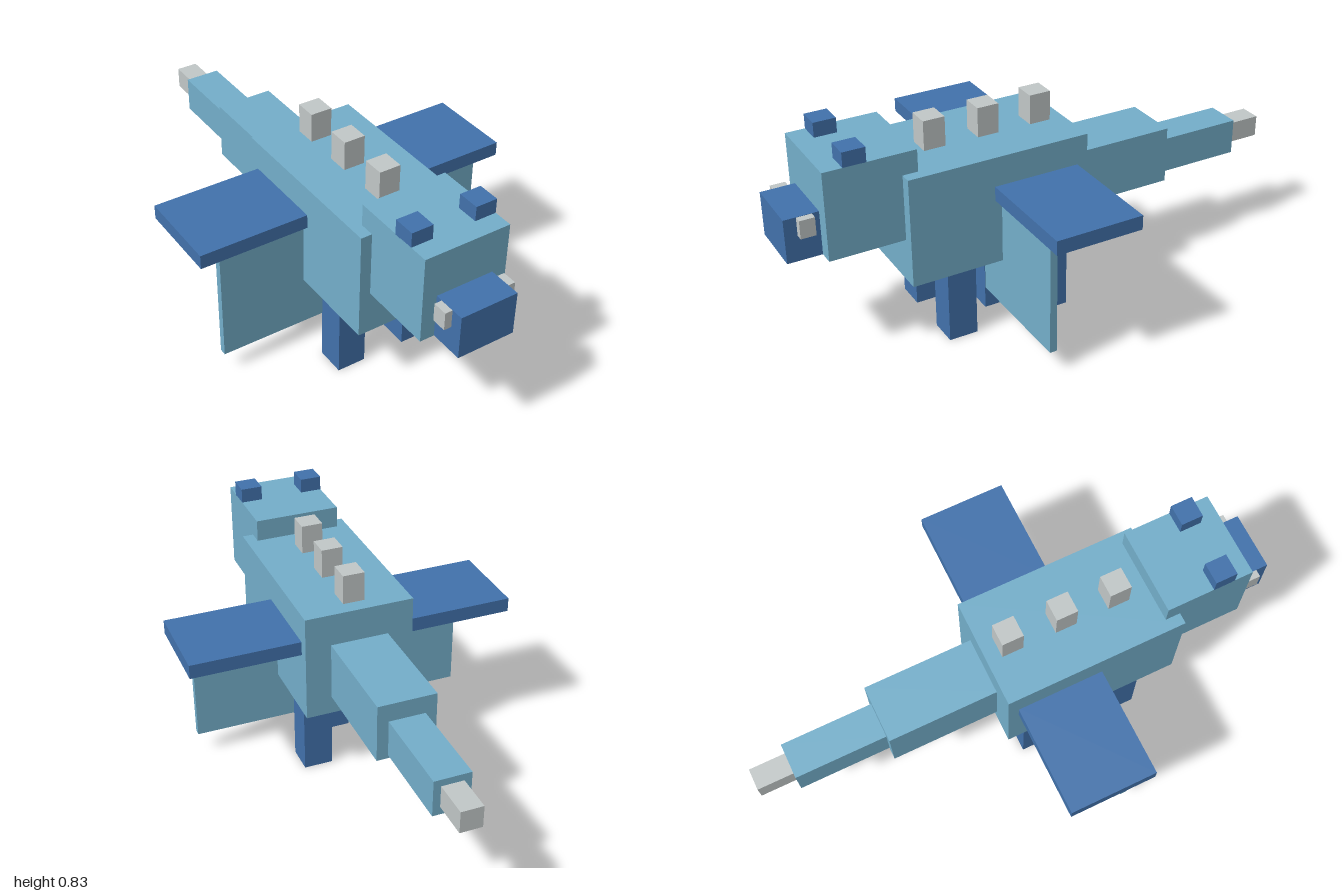
import * as THREE from 'three';

export function createModel() {
  const model = new THREE.Group();
  model.name = 'blockDragon';

  const skin = new THREE.MeshStandardMaterial({ name: 'lightBlue', color: 0x74afcb });
  const dark = new THREE.MeshStandardMaterial({ name: 'darkBlue', color: 0x4272ac });
  const bone = new THREE.MeshStandardMaterial({ name: 'paleGrey', color: 0xc2c8c8 });

  // Box given by its extents along x, y and z
  function block(name, material, [x0, x1], [y0, y1], [z0, z1]) {
    const mesh = new THREE.Mesh(new THREE.BoxGeometry(x1 - x0, y1 - y0, z1 - z0), material);
    mesh.position.set((x0 + x1) / 2, (y0 + y1) / 2, (z0 + z1) / 2);
    mesh.name = name;
    model.add(mesh);
  }
  const centred = (name, material, half, y, z) => block(name, material, [-half, half], y, z);
  function pair(name, material, [x0, x1], y, z) {
    block(name + 'Left', material, [x0, x1], y, z);
    block(name + 'Right', material, [-x1, -x0], y, z);
  }

  // Body, head and snout
  centred('body', skin, 0.207, [0.28, 0.695], [-0.095, 0.597]);
  centred('head', skin, 0.165, [0.447, 0.778], [0.54, 0.875]);
  centred('snout', dark, 0.11, [0.447, 0.612], [0.87, 1.0]);
  pair('nostril', bone, [0.085, 0.138], [0.543, 0.611], [0.9, 0.955]);
  pair('horn', dark, [0.083, 0.165], [0.775, 0.833], [0.72, 0.803]);

  // Back spikes
  for (const z of [0, 0.208, 0.416]) {
    centred('backSpike', bone, 0.041, [0.69, 0.807], [z - 0.039, z + 0.043]);
  }

  // Tapering tail
  centred('tailBase', skin, 0.11, [0.35, 0.571], [-0.512, -0.09]);
  centred('tailEnd', skin, 0.068, [0.363, 0.502], [-0.862, -0.51]);
  centred('tailTip', bone, 0.041, [0.393, 0.476], [-1.0, -0.86]);

  // Wings with a hanging membrane that runs under the body
  pair('wing', dark, [0.2, 0.621], [0.53, 0.584], [-0.055, 0.275]);
  centred('wingMembrane', skin, 0.538, [0.086, 0.531], [0.222, 0.249]);

  // Legs and the central support
  pair('frontLeg', dark, [0.083, 0.193], [0, 0.285], [0.35, 0.46]);
  pair('backLeg', dark, [0.083, 0.193], [0, 0.285], [-0.024, 0.086]);
  centred('middleSupport', dark, 0.069, [0, 0.69], [0.185, 0.251]);

  return model;
}
